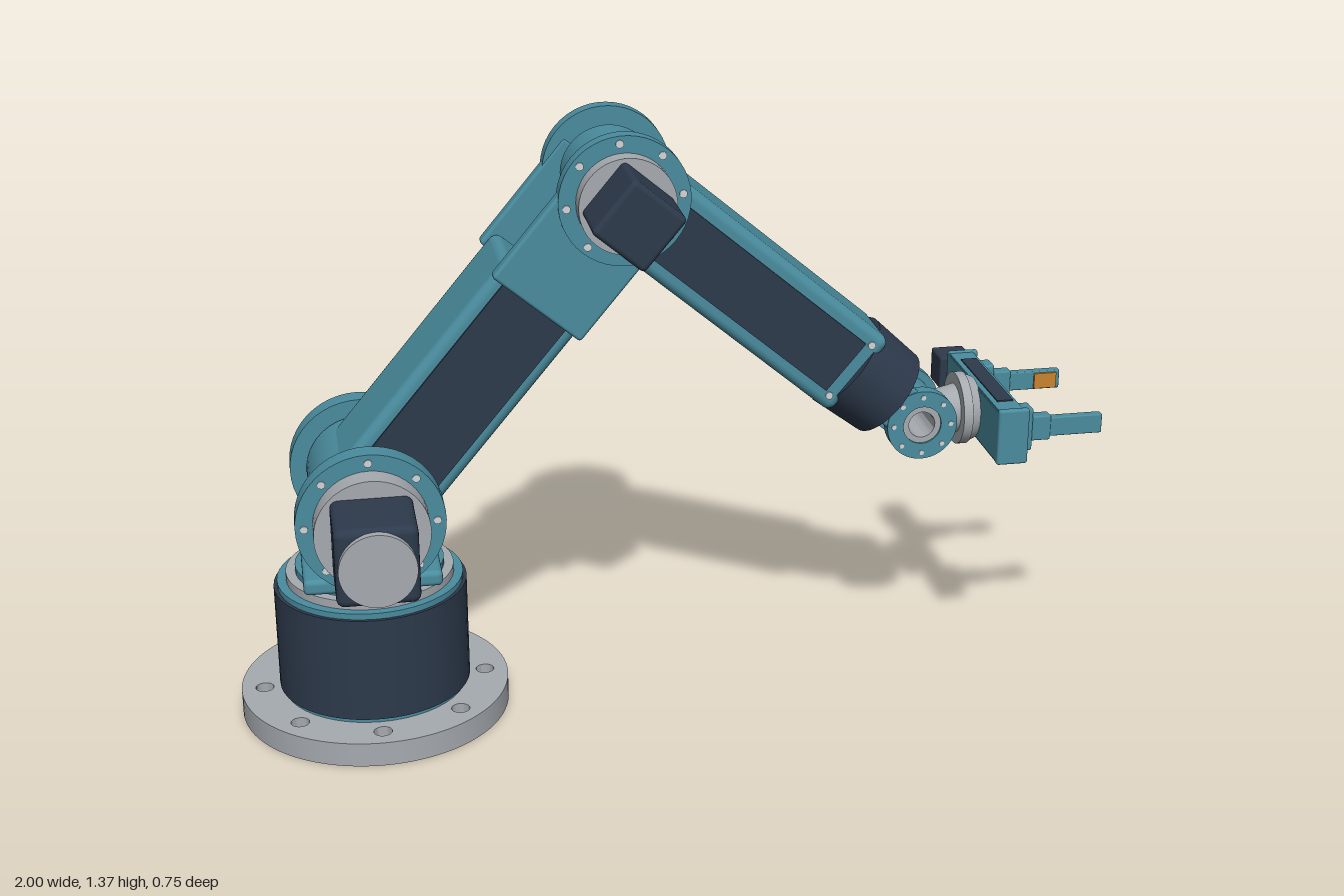
import * as THREE from 'three';
import { toCreasedNormals } from 'three/addons/utils/BufferGeometryUtils.js';
import { RoundedBoxGeometry } from 'three/addons/geometries/RoundedBoxGeometry.js';

const paint = (name, color) => {
  const m = new THREE.MeshStandardMaterial({ color });
  m.name = name;
  return m;
};

export function createModel() {
  const teal = paint('teal', 0x4a8c9e);
  const navy = paint('navy', 0x2d3a4c);
  const gray = paint('gray', 0xa6abb0);
  const silver = paint('silver', 0xd2d5d8);
  const orange = paint('orange', 0xc8842f);

  const group = (parent, name, x = 0, y = 0, z = 0, turn = 0) => {
    const g = new THREE.Group();
    g.name = name;
    g.position.set(x, y, z);
    g.rotation.z = turn;
    parent.add(g);
    return g;
  };
  const add = (parent, name, geo, mat) => {
    const m = new THREE.Mesh(geo, mat);
    m.name = name;
    parent.add(m);
    return m;
  };
  // Box given by its low and high limits on each axis
  const box = (parent, name, mat, [x0, x1], [y0, y1], [z0, z1], r = 0) => {
    const s = [x1 - x0, y1 - y0, z1 - z0];
    const m = add(parent, name, r ? new RoundedBoxGeometry(...s, 3, r) : new THREE.BoxGeometry(...s), mat);
    m.position.set((x0 + x1) / 2, (y0 + y1) / 2, (z0 + z1) / 2);
    return m;
  };
  // Cylinder between two limits on an axis; r1 is the radius at the high end
  const cyl = (parent, name, mat, axis, a, b, r0, r1 = r0, seg = 48) => {
    const geo = new THREE.CylinderGeometry(r1, r0, b - a, seg);
    geo.translate(0, (a + b) / 2, 0);
    if (axis === 'x') geo.rotateZ(-Math.PI / 2);
    if (axis === 'z') geo.rotateX(Math.PI / 2);
    return add(parent, name, geo, mat);
  };
  const circlePath = (x, y, r) => new THREE.Path().absarc(x, y, r, 0, Math.PI * 2, true);
  // Flat disc in the xy plane with round holes [x, y, r]
  const plate = (parent, name, mat, z0, z1, r, holes) => {
    const s = new THREE.Shape().absarc(0, 0, r, 0, Math.PI * 2, false);
    holes.forEach(h => s.holes.push(circlePath(...h)));
    const geo = new THREE.ExtrudeGeometry(s, { depth: z1 - z0, bevelEnabled: false, curveSegments: 48 });
    geo.translate(0, 0, z0);
    return add(parent, name, toCreasedNormals(geo, 0.6), mat);
  };
  const around = (n, r, fn) => {
    for (let i = 0; i < n; i++) {
      const a = (i / n) * Math.PI * 2;
      fn(r * Math.cos(a), r * Math.sin(a));
    }
  };
  // Pair of bolted cheek discs, with a bearing on the back one
  const cheeks = (parent, name, r, z0, z1) => {
    for (const s of [1, -1]) {
      const g = group(parent, name);
      cyl(g, 'cheekDisc', teal, 'z', Math.min(s * z0, s * z1), Math.max(s * z0, s * z1), r);
      around(8, r * 0.88, (x, y) => {
        const p = [s * (z1 - 0.01), s * (z1 + 0.003)].sort((a, b) => a - b);
        cyl(g, 'cheekBolt', silver, 'z', ...p, 0.009, 0.009, 10).position.set(x, y, 0);
      });
    }
    const back = group(parent, 'backBearing');
    plate(back, 'bearingRing', gray, -z1 - 0.004, -z1 + 0.01, r * 0.54, [[0, 0, r * 0.36]]);
    cyl(back, 'bearingGap', navy, 'z', -z1 - 0.001, -z1 + 0.01, r * 0.37);
    plate(back, 'bearingCore', silver, -z1 - 0.004, -z1 + 0.01, r * 0.32, [[0, 0, r * 0.15]]);
  };

  const root = new THREE.Group();
  root.name = 'robotArm';
  const robot = group(root, 'robot', 0, 0, -0.06);

  // Base: drilled floor flange, drum and turntable
  const base = group(robot, 'base', -0.69);
  const holes = [[0, 0, 0.055]];
  around(8, 0.257, (x, y) => holes.push([x, y, 0.021]));
  plate(base, 'floorFlange', gray, 0, 0.057, 0.31, holes).rotation.x = -Math.PI / 2;
  cyl(base, 'lowerTrim', teal, 'y', 0.055, 0.07, 0.213);
  cyl(base, 'drum', navy, 'y', 0.068, 0.316, 0.221);
  cyl(base, 'upperTrim', teal, 'y', 0.314, 0.33, 0.213);
  cyl(base, 'turntableBearing', gray, 'y', 0.328, 0.35, 0.192);
  cyl(base, 'turntable', teal, 'y', 0.348, 0.366, 0.17);
  box(base, 'turntablePlate', teal, [-0.155, 0.155], [0.361, 0.398], [-0.167, 0.167], 0.012);

  // Shoulder joint and its motor
  const shoulder = group(robot, 'shoulder', -0.69, 0.537);
  cheeks(shoulder, 'shoulderCheek', 0.166, 0.143, 0.193);
  cyl(shoulder, 'shoulderHub', teal, 'z', -0.138, 0.138, 0.128);
  cyl(shoulder, 'shoulderShaft', gray, 'z', -0.145, 0.145, 0.09);
  cyl(shoulder, 'motorFlange', gray, 'z', 0.19, 0.25, 0.128);
  box(shoulder, 'shoulderMotor', navy, [-0.09, 0.09], [-0.09, 0.09], [0.24, 0.42], 0.018);
  cyl(shoulder, 'motorCap', gray, 'z', 0.418, 0.435, 0.084);

  // Lower arm, with local x running from shoulder to elbow
  const lower = group(robot, 'lowerArm', -0.69, 0.537, 0, 50.1 * Math.PI / 180);
  box(lower, 'lowerBeam', teal, [-0.02, 0.64], [-0.117, 0.117], [-0.115, 0.115], 0.022);
  for (const s of [1, -1]) {
    const span = (a, b) => [s * a, s * b].sort((p, q) => p - q);
    box(lower, 'lowerPanel', navy, [0.1, 0.6], [-0.088, 0.088], span(0.113, 0.121));
    box(lower, 'forkPlate', teal, [0.595, 0.9], [-0.124, 0.124], span(0.11, 0.146), 0.008);
  }

  // Elbow joint and its motor, turned with the forearm
  const fore = group(robot, 'forearm', -0.113, 1.23, 0, -40.1 * Math.PI / 180);
  cheeks(fore, 'elbowCheek', 0.145, 0.113, 0.15);
  cyl(fore, 'elbowHub', teal, 'z', -0.09, 0.09, 0.108);
  cyl(fore, 'elbowShaft', gray, 'z', -0.114, 0.114, 0.083);
  cyl(fore, 'motorFlange', gray, 'z', 0.148, 0.193, 0.107);
  box(fore, 'elbowMotor', navy, [-0.073, 0.073], [-0.073, 0.073], [0.185, 0.342], 0.012);

  // Forearm beam, side panels and collar
  box(fore, 'foreBeam', teal, [0.02, 0.72], [-0.107, 0.107], [-0.098, 0.098], 0.022);
  cyl(fore, 'foreCollar', navy, 'x', 0.7, 0.835, 0.118, 0.11);
  cyl(fore, 'collarFace', teal, 'x', 0.83, 0.842, 0.09);
  for (const s of [1, -1]) {
    const span = (a, b) => [s * a, s * b].sort((p, q) => p - q);
    box(fore, 'forePanel', navy, [0.1, 0.67], [-0.07, 0.07], span(0.096, 0.104));
    box(fore, 'wristFork', teal, [0.82, 0.87], [-0.055, 0.055], span(0.062, 0.092), 0.008);
    for (const y of [-0.075, 0.075])
      cyl(fore, 'foreBolt', silver, 'z', ...span(0.09, 0.102), 0.009, 0.009, 10).position.set(0.685, y, 0);
  }

  // Wrist: hollow rings and tool flange
  const wrist = group(robot, 'wrist', 0.588, 0.64);
  for (const [a, b] of [[0.062, 0.095], [-0.095, -0.062]]) {
    const rim = [[0, 0, 0.045]];
    plate(wrist, 'wristRing', teal, a, b, 0.083, rim);
    around(8, 0.068, (x, y) => {
      const p = a > 0 ? [b - 0.005, b + 0.002] : [a - 0.002, a + 0.005];
      cyl(wrist, 'wristBolt', silver, 'z', ...p, 0.006, 0.006, 8).position.set(x, y, 0);
    });
  }
  plate(wrist, 'wristSleeve', gray, -0.09, 0.09, 0.046, [[0, 0, 0.031]]);
  plate(wrist, 'wristHub', teal, -0.06, 0.06, 0.064, [[0, 0, 0.04]]);
  cyl(wrist, 'toolNeck', gray, 'x', 0.05, 0.112, 0.045, 0.06);
  cyl(wrist, 'toolFlange', gray, 'x', 0.104, 0.126, 0.085);
  cyl(wrist, 'toolAdapter', gray, 'x', 0.124, 0.149, 0.083, 0.072);

  // Gripper: frame, guide rods, drive and two fingers
  const grip = group(robot, 'gripper', 0, 0.64);
  box(grip, 'gripBack', teal, [0.735, 0.757], [-0.06, 0.06], [-0.195, 0.195]);
  box(grip, 'gripCore', navy, [0.755, 0.768], [-0.055, 0.055], [-0.19, 0.19]);
  for (const s of [1, -1]) {
    const span = (a, b) => [s * a, s * b].sort((p, q) => p - q);
    box(grip, 'gripRail', teal, [0.737, 0.795], span(0.055, 0.064), [-0.195, 0.195]);
    box(grip, 'gripCover', navy, [0.75, 0.788], span(0.062, 0.067), [-0.14, 0.14]);
    box(grip, 'gripEnd', teal, [0.735, 0.808], [-0.067, 0.067], span(0.188, 0.205), 0.006);
    box(grip, 'carriage', teal, [0.77, 0.83], [-0.052, 0.052], span(0.122, 0.168), 0.006);
    box(grip, 'fingerRoot', teal, [0.825, 0.875], [-0.03, 0.03], span(0.132, 0.162), 0.004);
    box(grip, 'finger', teal, [0.83, 1], [-0.023, 0.023], span(0.137, 0.158), 0.003);
    box(grip, 'fingerPad', orange, [0.935, 0.99], [-0.019, 0.019], span(0.131, 0.138));
  }
  for (const y of [-0.04, 0, 0.04]) {
    const rod = cyl(grip, 'guideRod', y ? silver : gray, 'z', -0.2, 0.2, 0.01, 0.01, 16);
    rod.position.set(0.785, y, 0);
  }
  cyl(grip, 'driveNeck', gray, 'z', -0.226, -0.2, 0.018).position.x = 0.765;
  box(grip, 'gripMotor', navy, [0.725, 0.805], [-0.041, 0.041], [-0.302, -0.222], 0.006);

  return root;
}
